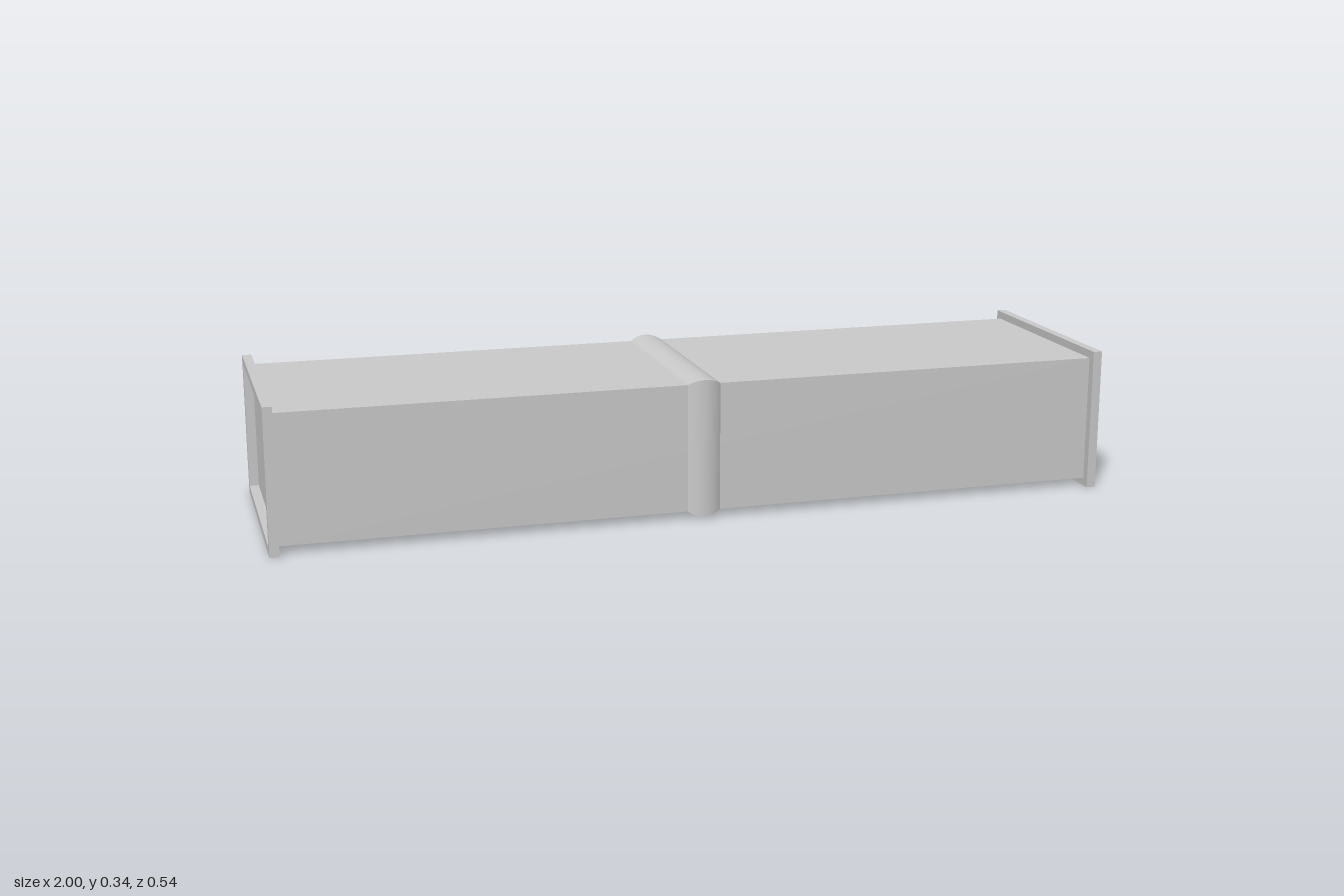
import * as THREE from 'three';

const LENGTH = 2, HEIGHT = 0.302, DEPTH = 0.501, MID_Y = 0.17;
const FLANGE_T = 0.022, FLANGE_H = 0.34, FLANGE_D = 0.54;
const BEAD_W = 0.078, BEAD_H = 0.012;

const material = new THREE.MeshStandardMaterial({ color: 0xcccccc });

function rectangle(PathType, w, h) {
  return new PathType([
    new THREE.Vector2(-w / 2, -h / 2), new THREE.Vector2(w / 2, -h / 2),
    new THREE.Vector2(w / 2, h / 2), new THREE.Vector2(-w / 2, h / 2),
  ]);
}

// Rectangular frame, extruded along x and centred
function flangeGeometry() {
  const shape = rectangle(THREE.Shape, FLANGE_D, FLANGE_H);
  shape.holes.push(rectangle(THREE.Path, DEPTH, HEIGHT));
  const geometry = new THREE.ExtrudeGeometry(shape, { depth: FLANGE_T, bevelEnabled: false });
  return geometry.translate(0, 0, -FLANGE_T / 2).rotateY(Math.PI / 2);
}

// Mitred band around the duct, bulging outwards in a circular arc
function beadGeometry() {
  const geometry = new THREE.BoxGeometry(BEAD_W, HEIGHT, DEPTH, 16, 1, 1);
  const half = BEAD_W / 2;
  const radius = (half * half + BEAD_H * BEAD_H) / (2 * BEAD_H);
  const p = geometry.attributes.position;
  for (let i = 0; i < p.count; i++) {
    const x = p.getX(i);
    const bulge = Math.sqrt(radius * radius - x * x) - (radius - BEAD_H);
    p.setY(i, p.getY(i) + Math.sign(p.getY(i)) * bulge);
    p.setZ(i, p.getZ(i) + Math.sign(p.getZ(i)) * bulge);
  }
  geometry.computeVertexNormals();
  return geometry;
}

export function createModel() {
  const model = new THREE.Group();
  model.name = 'rectangularDuct';

  const add = (name, geometry, x = 0) => {
    const mesh = new THREE.Mesh(geometry, material);
    mesh.name = name;
    mesh.position.set(x, MID_Y, 0);
    model.add(mesh);
  };

  // Duct body, its closed ends set back behind the flanges
  add('ductBody', new THREE.BoxGeometry(LENGTH - 2 * FLANGE_T, HEIGHT, DEPTH));

  // Rounded stiffening bead at mid-length
  add('centreBead', beadGeometry());

  // End flanges
  const flange = flangeGeometry();
  for (const side of [-1, 1]) {
    add(side > 0 ? 'leftFlange' : 'rightFlange', flange, side * (LENGTH - FLANGE_T) / 2);
  }
  return model;
}
